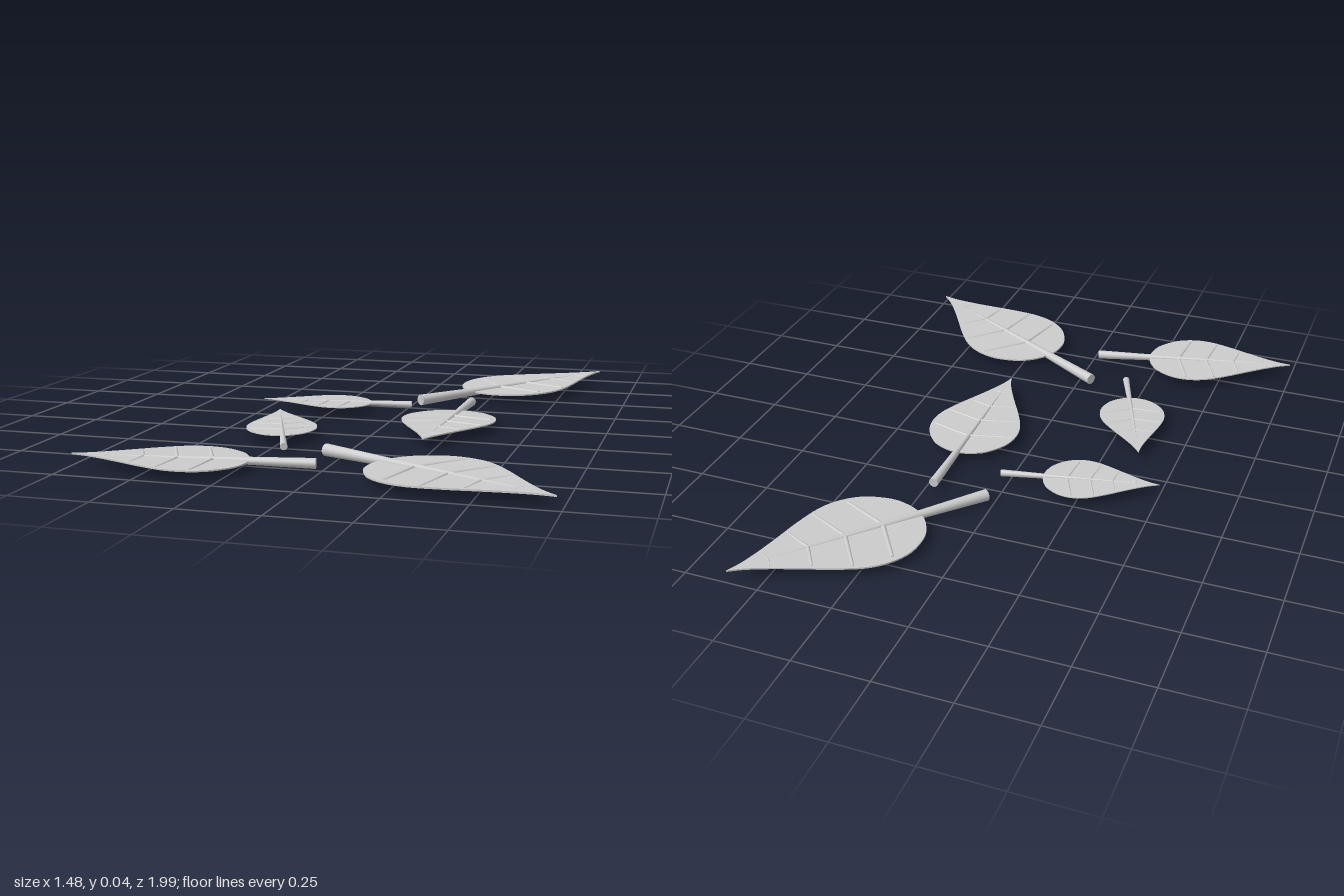
import * as THREE from 'three';

const material = new THREE.MeshStandardMaterial({ color: 0xcccccc });
const TOP = 0.04; // height of the leaf tips
const STEM_RADIUS = 0.0222, THICKNESS = 0.006; // for a leaf of length 1

// Half outline of the blade: distance along the leaf, half width
const OUTLINE = [[0.272, 0.03], [0.285, 0.075], [0.32, 0.135], [0.4, 0.196], [0.49, 0.217],
  [0.58, 0.204], [0.68, 0.158], [0.77, 0.107], [0.86, 0.057], [0.94, 0.019], [1, 0]];

// Side vein pairs: start along the midrib, length, radius
const VEINS = [[0.42, 0.2, 0.0095], [0.565, 0.185, 0.0085], [0.705, 0.115, 0.0075], [0.85, 0.045, 0.005]];

// Leaves: stem end x, z and tip x, z
const LEAVES = [
  [0.03, -0.31, 0.605, -0.995],
  [0.03, -0.18, -0.497, -0.085],
  [0.222, -0.31, 0.222, 0.425],
  [-0.18, 0.585, -0.375, 0.085],
  [-0.018, 0.752, -0.743, 0.892],
  [-0.05, 0.557, 0.735, 0.992],
];

function addMesh(group, name, geometry) {
  const mesh = new THREE.Mesh(geometry, material);
  mesh.name = name;
  group.add(mesh);
  return mesh;
}

// Tapered rod lying along +x from the origin
function rod(r0, r1, length) {
  return new THREE.CylinderGeometry(r1, r0, length, 14).rotateZ(-Math.PI / 2).translate(length / 2, 0, 0);
}

function bladeGeometry() {
  const side = new THREE.SplineCurve(OUTLINE.map(([x, y]) => new THREE.Vector2(x, y))).getPoints(40);
  const mirrored = side.slice(0, -1).reverse().map((p) => new THREE.Vector2(p.x, -p.y));
  const shape = new THREE.Shape([...side, ...mirrored]);
  return new THREE.ExtrudeGeometry(shape, { depth: THICKNESS, bevelEnabled: false })
    .translate(0, 0, -THICKNESS / 2).rotateX(-Math.PI / 2);
}

// Leaf of length 1 along +x
function createLeaf() {
  const leaf = new THREE.Group();
  leaf.name = 'leaf';
  addMesh(leaf, 'blade', bladeGeometry());
  addMesh(leaf, 'stemAndMidrib', rod(STEM_RADIUS, 0.0005, 1));
  for (const [start, length, radius] of VEINS) {
    for (const s of [-1, 1]) {
      const vein = addMesh(leaf, 'sideVein', rod(radius, radius * 0.7, length));
      vein.position.x = start;
      vein.rotation.y = s * THREE.MathUtils.degToRad(75);
    }
  }
  return leaf;
}

export function createModel() {
  const model = new THREE.Group();
  model.name = 'leaves';
  const pattern = createLeaf();
  for (const [x0, z0, x1, z1] of LEAVES) {
    const leaf = pattern.clone();
    const dx = x1 - x0, dz = z1 - z0, length = Math.hypot(dx, dz);
    // The thick stem end rests lower, so the leaf rises gently to its tip
    leaf.position.set(x0, TOP - STEM_RADIUS * length, z0);
    leaf.rotation.set(0, Math.atan2(-dz, dx), Math.asin(STEM_RADIUS), 'YXZ');
    leaf.scale.setScalar(length);
    model.add(leaf);
  }
  return model;
}
